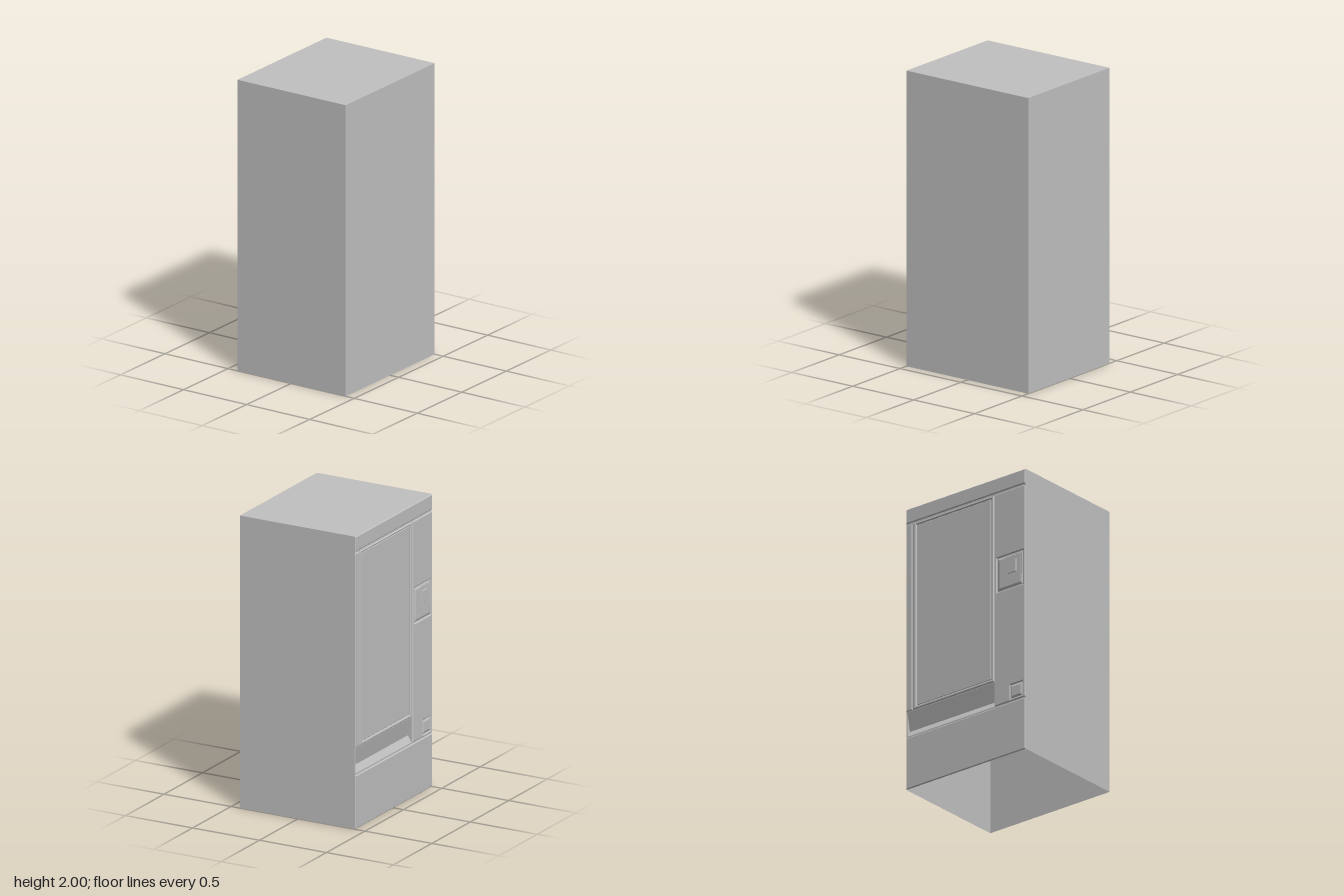
import * as THREE from 'three';

const grey = new THREE.MeshStandardMaterial({ color: 0xc0c0c0, side: THREE.DoubleSide });
grey.name = 'grey metal';

const FACE = -0.424; // plane of the sheet behind the raised service-side panels
const X1 = 0.433;

export function createModel() {
  const model = new THREE.Group();

  function add(name, geometry) {
    const mesh = new THREE.Mesh(geometry, grey);
    mesh.name = name;
    model.add(mesh);
  }

  // Flat convex polygon from its corners
  function sheet(name, ...corners) {
    const p = [];
    for (let i = 1; i < corners.length - 1; i++) p.push(...corners[0], ...corners[i], ...corners[i + 1]);
    const g = new THREE.BufferGeometry();
    g.setAttribute('position', new THREE.Float32BufferAttribute(p, 3));
    g.computeVertexNormals();
    add(name, g);
  }

  // Rectangle given as [z0, z1, y0, y1]
  function trace(path, [z0, z1, y0, y1]) {
    path.moveTo(z0, y0).lineTo(z1, y0).lineTo(z1, y1).lineTo(z0, y1).closePath();
    return path;
  }
  function outline(rect, holes) {
    const shape = trace(new THREE.Shape(), rect);
    for (const h of holes) shape.holes.push(trace(new THREE.Path(), h));
    return shape;
  }

  // Thin bevelled plate facing -x, with optional openings
  function panel(name, rect, holes = [], rise = 0.007, bevel = 0.006, base = FACE) {
    const g = new THREE.ExtrudeGeometry(outline(rect, holes), {
      depth: 0.001, bevelThickness: rise - 0.001, bevelSize: bevel, bevelOffset: -bevel, bevelSegments: 1,
    });
    g.rotateY(-Math.PI / 2).translate(base, 0, 0);
    add(name, g);
  }

  // Cabinet shell, open underneath
  sheet('cabinetTop', [FACE, 2, -0.5], [FACE, 2, 0.5], [X1, 2, 0.5], [X1, 2, -0.5]);
  sheet('cabinetBack', [X1, 0, 0.5], [X1, 0, -0.5], [X1, 2, -0.5], [X1, 2, 0.5]);
  sheet('cabinetSideA', [FACE, 0, 0.5], [X1, 0, 0.5], [X1, 2, 0.5], [FACE, 2, 0.5]);
  sheet('cabinetSideB', [X1, 0, -0.5], [FACE, 0, -0.5], [FACE, 2, -0.5], [X1, 2, -0.5]);

  // Sheet behind the panels, with the delivery slot cut out
  const slot = [-0.492, 0.238, 0.378, 0.55];
  const backing = new THREE.ShapeGeometry(outline([-0.5, 0.5, 0, 2], [slot]));
  add('backingSheet', backing.rotateY(-Math.PI / 2).translate(FACE, 0, 0));

  // Header, base and side strip
  panel('headerPanel', [-0.5, 0.5, 1.897, 2]);
  panel('basePanel', [-0.5, 0.5, 0, 0.366]);
  panel('sideStrip', [-0.5, -0.447, 0.555, 1.885]);

  // Window door with its inset pane
  panel('windowFrame', [-0.442, 0.238, 0.555, 1.885], [[-0.412, 0.215, 0.575, 1.868]]);
  panel('windowPane', [-0.408, 0.211, 0.579, 1.864], [], 0.003, 0.002);

  // Control panel with payment plate and coin return set in grooves
  const payment = [0.27, 0.475, 1.19, 1.42];
  const coin = [0.38, 0.472, 0.395, 0.485];
  panel('controlPanel', [0.246, 0.5, 0.375, 1.885], [
    [0.262, 0.483, 1.182, 1.428], [0.374, 0.478, 0.389, 0.491]]);
  panel('paymentPlate', payment, [[0.345, 0.455, 1.27, 1.395]], 0.007, 0.014);
  panel('paymentBlock', [0.354, 0.431, 1.283, 1.385], [], 0.011, 0.008);
  panel('coinReturn', coin, [], 0.007, 0.012);

  // V-shaped delivery slot: flap, sloping tray and two end walls
  const [z0, z1, y0, y1] = slot;
  const depth = -0.397, yFold = 0.422;
  sheet('slotFlap', [FACE, y1, z0], [FACE, y1, z1], [depth, yFold, z1], [depth, yFold, z0]);
  sheet('slotTray', [depth, yFold, z0], [depth, yFold, z1], [FACE, y0, z1], [FACE, y0, z0]);
  for (const z of [z0, z1]) sheet('slotEnd', [FACE, y1, z], [depth, yFold, z], [FACE, y0, z]);

  return model;
}
